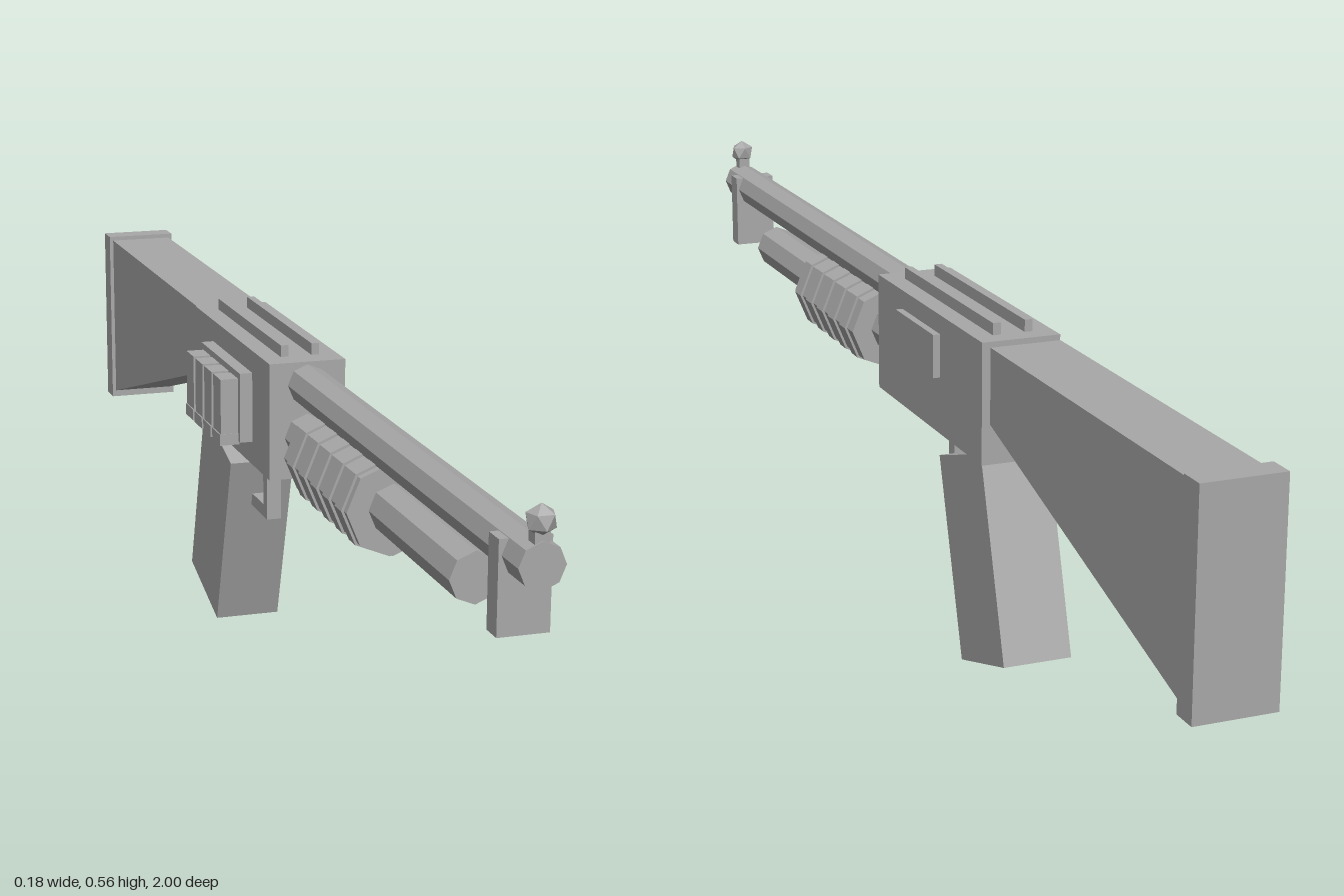
import * as THREE from 'three';

export function createModel() {
  const group = new THREE.Group();
  const grey = new THREE.MeshStandardMaterial({ color: 0xa8a8a8, flatShading: true });
  grey.name = 'plain grey';
  const CX = 0.017; // the long axis sits slightly off centre

  const add = (name, geometry) => {
    const mesh = new THREE.Mesh(geometry, grey);
    mesh.name = name;
    group.add(mesh);
    return mesh;
  };
  // Box given by its limits on each axis
  const box = (name, x0, x1, y0, y1, z0, z1) => {
    const g = new THREE.BoxGeometry(x1 - x0, y1 - y0, z1 - z0);
    g.translate((x0 + x1) / 2, (y0 + y1) / 2, (z0 + z1) / 2);
    return add(name, g);
  };
  // Eight-sided rod along z
  const rod = (name, r, y, z0, z1) => {
    const g = new THREE.CylinderGeometry(r, r, z1 - z0, 8);
    g.rotateX(Math.PI / 2);
    g.translate(CX, y, (z0 + z1) / 2);
    return add(name, g);
  };
  // Side profile of [z, y] points, extruded across x
  const profile = (name, points, width) => {
    const shape = new THREE.Shape(points.map(([z, y]) => new THREE.Vector2(-z, y)));
    const g = new THREE.ExtrudeGeometry(shape, { depth: width, bevelEnabled: false });
    g.translate(0, 0, -width / 2);
    g.rotateY(Math.PI / 2);
    g.translate(CX, 0, 0);
    return add(name, g);
  };

  // Receiver with top rails and side port
  box('receiver', -0.043, 0.077, 0.335, 0.517, -0.34, 0.08);
  for (const x of [-0.007, 0.042]) {
    box('topRail', x - 0.006, x + 0.006, 0.515, 0.535, -0.31, 0.04);
  }
  box('ejectionPort', 0.075, 0.088, 0.422, 0.488, -0.18, -0.025);

  // Shell carrier on the other side
  box('carrierPlate', -0.063, -0.041, 0.372, 0.482, -0.235, -0.012);
  for (let i = 0; i < 4; i++) {
    const z = -0.202 + i * 0.053;
    box('shell', -0.091, -0.061, 0.38, 0.472, z - 0.021, z + 0.021);
    box('shellBase', -0.093, -0.061, 0.367, 0.385, z - 0.022, z + 0.022);
  }

  // Barrel, magazine tube and ribbed pump handle
  rod('barrel', 0.031, 0.482, 0.07, 0.99);
  rod('magazineTube', 0.036, 0.4, 0.07, 0.78);
  rod('pumpHandle', 0.068, 0.399, 0.18, 0.47);
  for (let i = 0; i < 5; i++) {
    const z = 0.22 + i * 0.056;
    rod('pumpRib', 0.072, 0.399, z - 0.014, z + 0.014);
  }

  // Barrel block and front bead sight
  box('barrelBlock', -0.018, 0.052, 0.378, 0.503, 0.906, 0.938);
  box('sightPost', 0.007, 0.027, 0.505, 0.535, 0.968, 0.988);
  const bead = new THREE.IcosahedronGeometry(0.021, 0);
  bead.rotateZ(-Math.atan(2 / (1 + Math.sqrt(5)))); // one corner straight up
  bead.rotateY(Math.PI / 2);
  bead.translate(CX, 0.537, 0.981);
  add('sightBead', bead);

  // Slanted grip and L-shaped trigger guard
  profile('grip', [[-0.16, 0.295], [-0.25, 0], [-0.41, 0.05], [-0.32, 0.345]], 0.106);
  profile('triggerGuard', [
    [-0.095, 0.315], [-0.095, 0.216], [-0.2, 0.216],
    [-0.2, 0.236], [-0.116, 0.236], [-0.116, 0.315],
  ], 0.023);

  // Tapered stock and butt pad
  profile('stock', [[-0.355, 0.513], [-0.355, 0.4], [-0.965, 0.22], [-0.965, 0.513]], 0.107);
  box('buttPad', -0.043, 0.077, 0.21, 0.52, -1, -0.96);

  return group;
}
